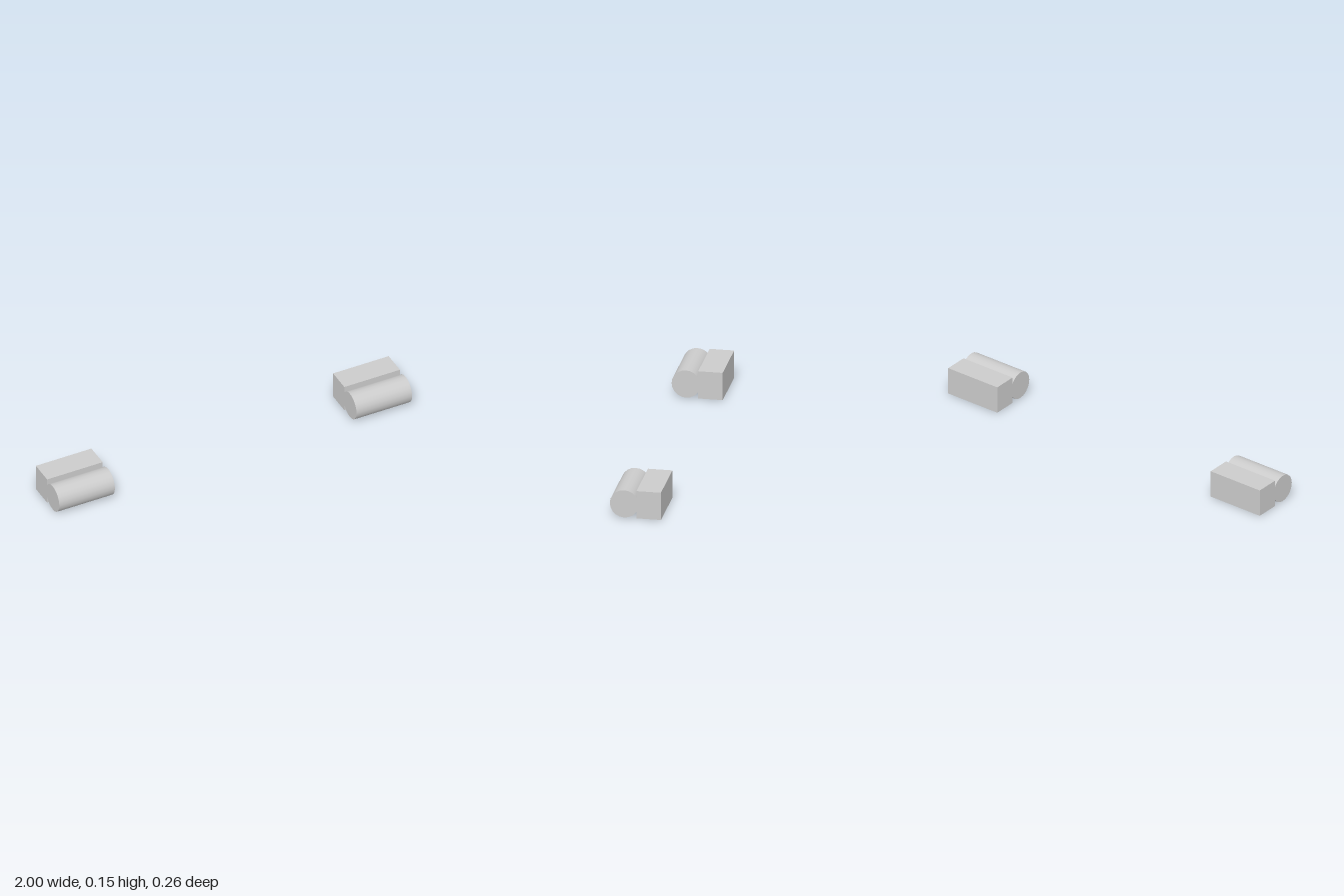
import * as THREE from 'three';

export function createModel() {
  const model = new THREE.Group();
  const material = new THREE.MeshStandardMaterial({ color: 0xcccccc });
  const length = 0.315, height = 0.148, radius = height / 2;

  // Round bar lying along x, and the square block behind it
  const barGeometry = new THREE.CylinderGeometry(radius, radius, length, 20).rotateZ(Math.PI / 2);
  const blockGeometry = new THREE.BoxGeometry(length, height, 0.126);

  // One matching grip at each end
  for (const [side, sign] of [['left', 1], ['right', -1]]) {
    const grip = new THREE.Group();
    grip.name = `${side}Grip`;
    grip.position.set(sign * (1 - length / 2), height / 2, 0);

    const bar = new THREE.Mesh(barGeometry, material);
    bar.name = `${side}RoundBar`;
    bar.position.z = 0.058;

    const block = new THREE.Mesh(blockGeometry, material);
    block.name = `${side}Block`;
    block.position.z = -0.068;

    grip.add(bar, block);
    model.add(grip);
  }
  return model;
}
